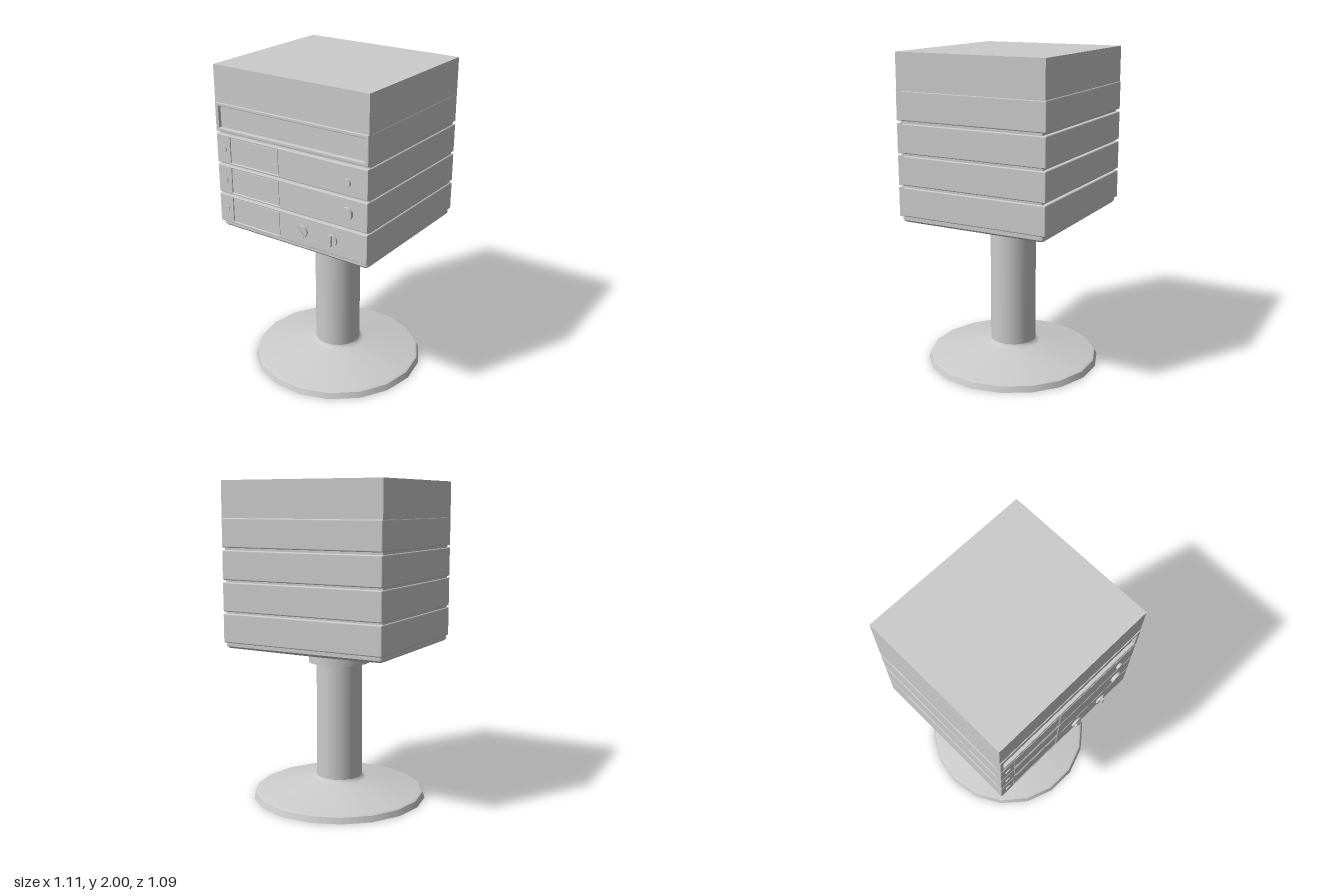
import * as THREE from 'three';
import { RoundedBoxGeometry } from 'three/addons/geometries/RoundedBoxGeometry.js';

const HX = 0.54;      // half width of the cabinet
const FRONT = 0.489;  // front plane of the modules

const grey = new THREE.MeshStandardMaterial({ color: 0xcccccc });
const greyFlat = new THREE.MeshStandardMaterial({ color: 0xcccccc, flatShading: true });

function add(parent, name, geometry, x = 0, y = 0, z = 0, material = grey) {
  const mesh = new THREE.Mesh(geometry, material);
  mesh.name = name;
  mesh.position.set(x, y, z);
  parent.add(mesh);
  return mesh;
}

// rectangle path, usable as outline or hole
function rect(path, x0, x1, y0, y1) {
  path.moveTo(x0, y0);
  path.lineTo(x1, y0);
  path.lineTo(x1, y1);
  path.lineTo(x0, y1);
  path.closePath();
  return path;
}

// lathe built from straight bands, so each profile edge stays sharp
function lathe(parent, name, points, segments) {
  const group = new THREE.Group();
  group.name = name;
  for (const band of points) {
    const profile = band.map(([r, y]) => new THREE.Vector2(r, y));
    add(group, name + 'Band', new THREE.LatheGeometry(profile, segments, Math.PI / 2));
  }
  parent.add(group);
}

// skin through rounded rectangles [halfX, halfZ, cornerRadius, y], from top to bottom
function loft(sections) {
  const steps = 6, n = 4 * (steps + 1), pos = [], index = [];
  for (const [hx, hz, r, y] of sections) {
    for (let c = 0; c < 4; c++) {
      const sx = c === 0 || c === 3 ? 1 : -1, sz = c < 2 ? 1 : -1;
      for (let k = 0; k <= steps; k++) {
        const a = (c + k / steps) * Math.PI / 2;
        pos.push(sx * (hx - r) + r * Math.cos(a), y, sz * (hz - r) + r * Math.sin(a));
      }
    }
  }
  for (let s = 0; s < sections.length - 1; s++) {
    for (let i = 0; i < n; i++) {
      const a = s * n + i, b = s * n + (i + 1) % n;
      index.push(a, b, a + n, b, b + n, a + n);
    }
  }
  const g = new THREE.BufferGeometry();
  g.setAttribute('position', new THREE.Float32BufferAttribute(pos, 3));
  g.setIndex(index);
  g.computeVertexNormals();
  return g;
}

// one stacked unit: body plus a faceplate with a rectangular opening
function createModule(name, y0, y1, opening) {
  const group = new THREE.Group();
  group.name = name;
  const h = y1 - y0, back = -FRONT, bodyFront = 0.468;
  add(group, 'body', new RoundedBoxGeometry(2 * HX, h, bodyFront - back, 2, 0.008),
    0, (y0 + y1) / 2, (bodyFront + back) / 2);
  const shape = rect(new THREE.Shape(), -HX, HX, y0, y1);
  shape.holes.push(rect(new THREE.Path(), ...opening));
  const bevel = 0.005, depth = 0.04;
  add(group, 'faceplate', new THREE.ExtrudeGeometry(shape, {
    depth: depth - 2 * bevel, bevelThickness: bevel, bevelSize: bevel,
    bevelOffset: -bevel, bevelSegments: 2,
  }), 0, 0, FRONT - depth + bevel);
  return group;
}

// round control facing the front, with an optional turned grip bar
function addKnob(parent, name, x, y, radius, reach, gripAngle) {
  const group = new THREE.Group();
  group.name = name;
  group.position.set(x, y, FRONT);
  const dial = gripAngle === undefined ? reach : reach * 0.45;
  const disc = new THREE.CylinderGeometry(radius, radius, dial + 0.01, 24).rotateX(Math.PI / 2);
  add(group, 'dial', disc, 0, 0, dial / 2 - 0.005);
  if (gripAngle !== undefined) {
    const grip = add(group, 'grip', new THREE.BoxGeometry(0.016, radius * 1.9, reach), 0, 0, reach / 2);
    grip.rotation.z = gripAngle;
  }
  parent.add(group);
}

export function createModel() {
  const model = new THREE.Group();
  model.name = 'pedestalStereo';

  // trumpet foot and column
  lathe(model, 'foot', [
    [[0, 0], [0.553, 0]],
    [[0.553, 0], [0.54, 0.036]],
    [[0.54, 0.036], [0.525, 0.044], [0.175, 0.114], [0.152, 0.122], [0.145, 0.138]],
  ], 18);
  lathe(model, 'column', [[[0.145, 0.135], [0.145, 0.95]]], 36);
  lathe(model, 'collar', [
    [[0.145, 0.875], [0.195, 0.875]],
    [[0.195, 0.875], [0.195, 0.935]],
  ], 36);

  // shallow tray tapering from the cabinet to the collar
  add(model, 'tray', loft([
    [0.535, 0.475, 0.02, 1.03],
    [0.535, 0.475, 0.02, 0.997],
    [0.525, 0.465, 0.02, 0.986],
    [0.195, 0.195, 0.195, 0.925],
  ]), 0, 0, 0, greyFlat);

  // recessed core, seen in the gaps between the modules
  add(model, 'core', new THREE.BoxGeometry(1.065, 0.76, 0.93), 0, 1.4, 0);

  // three units with a window, a push button and knobs
  const units = [[1.02, 1.2], [1.212, 1.392], [1.405, 1.585]];
  units.forEach(([y0, y1], i) => {
    const w = [-0.435, -0.075, y0 + 0.012, y1 - 0.012];
    const unit = createModule('unit' + (i + 1), y0, y1, w);
    const gap = 0.003;
    add(unit, 'window', new THREE.BoxGeometry(w[1] - w[0] - 2 * gap, w[3] - w[2] - 2 * gap, 0.03),
      (w[0] + w[1]) / 2, (y0 + y1) / 2, FRONT - 0.018);
    addKnob(unit, 'button', -0.485, y0 + 0.09, 0.021, 0.006);
    model.add(unit);
  });
  const [low, middle, high] = units.map((_, i) => model.getObjectByName('unit' + (i + 1)));
  addKnob(low, 'selectorKnob', 0.095, 1.112, 0.037, 0.028, Math.PI / 4);
  addKnob(low, 'modeKnob', 0.305, 1.112, 0.035, 0.028, 0);
  addKnob(middle, 'volumeKnob', 0.41, 1.305, 0.037, 0.02);
  addKnob(high, 'tuningKnob', 0.41, 1.485, 0.022, 0.015);

  // top unit with a long recessed panel
  model.add(createModule('panelUnit', 1.6, 1.777, [-0.515, 0.515, 1.623, 1.755]));

  // plain lid
  add(model, 'lid', new THREE.BoxGeometry(2 * HX, 0.225, 0.966), 0, 1.8875, 0);

  return model;
}
